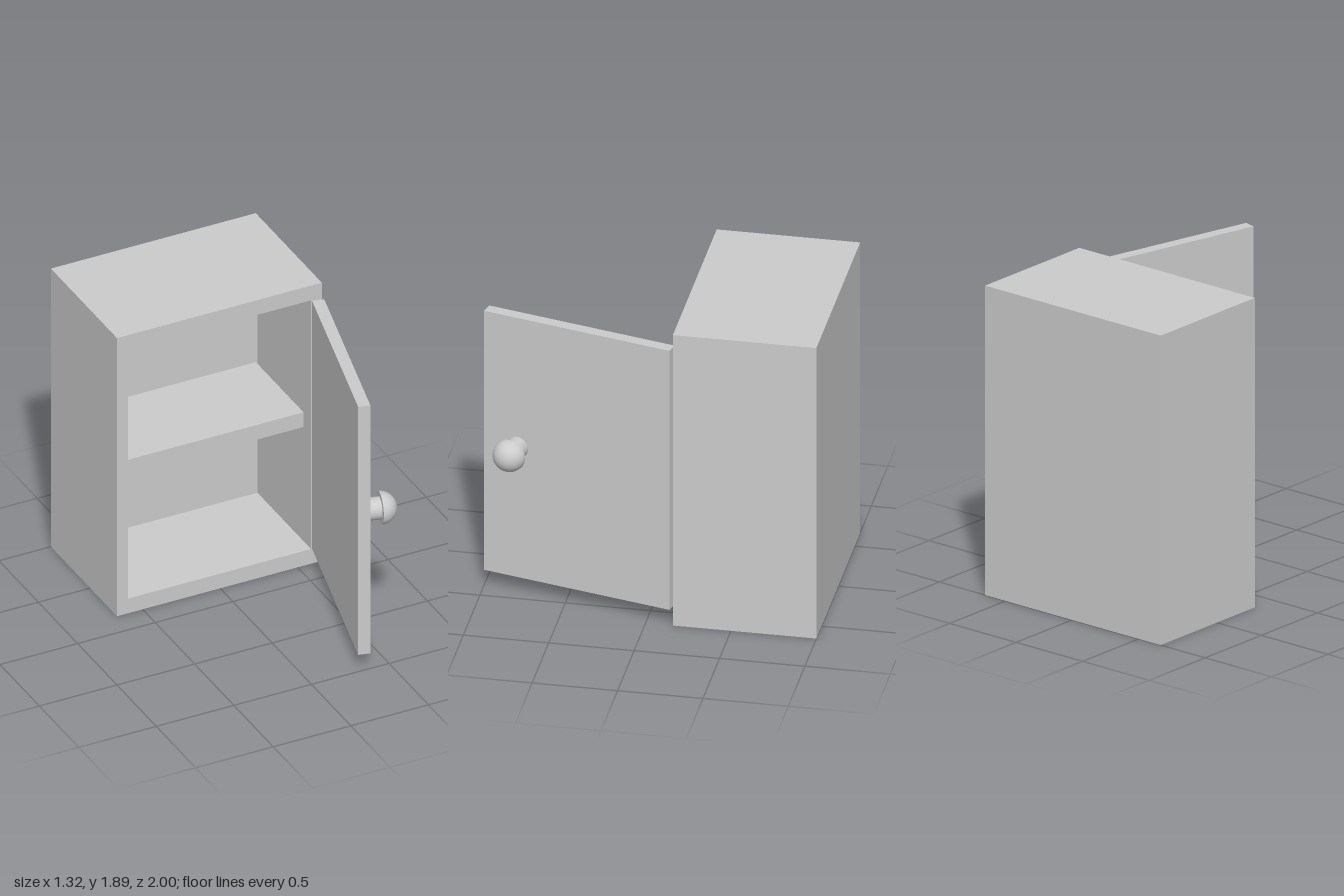
import * as THREE from 'three';

const material = new THREE.MeshStandardMaterial({ color: 0xcccccc });

function addMesh(parent, name, geometry, x = 0, y = 0, z = 0) {
  const mesh = new THREE.Mesh(geometry, material);
  mesh.name = name;
  mesh.position.set(x, y, z);
  parent.add(mesh);
  return mesh;
}

function rectangle(path, x0, y0, x1, y1) {
  path.moveTo(x0, y0);
  path.lineTo(x1, y0);
  path.lineTo(x1, y1);
  path.lineTo(x0, y1);
  path.closePath();
  return path;
}

export function createModel() {
  const model = new THREE.Group();
  model.name = 'cabinet';

  // Cabinet: open-fronted frame closed by a thick back
  const width = 1.32, height = 1.89, side = 0.07, cap = 0.1;
  const backDepth = 0.16, frameDepth = 0.68, centreX = -0.005;
  const outline = rectangle(new THREE.Shape(), -width / 2, 0, width / 2, height);
  outline.holes.push(rectangle(new THREE.Path(), -width / 2 + side, cap, width / 2 - side, height - cap));
  addMesh(model, 'frame',
    new THREE.ExtrudeGeometry(outline, { depth: frameDepth, bevelEnabled: false }),
    centreX, 0, -1 + backDepth);
  addMesh(model, 'back', new THREE.BoxGeometry(width, height, backDepth),
    centreX, height / 2, -1 + backDepth / 2);

  // Shelf, set slightly behind the opening
  const shelfDepth = 0.605;
  addMesh(model, 'shelf', new THREE.BoxGeometry(1.16, 0.1, shelfDepth),
    centreX, 0.94, -1 + backDepth + shelfDepth / 2);

  // Door, swung open on its hinge edge
  const door = new THREE.Group();
  door.name = 'door';
  door.position.set(0.59, 0.945, -0.157);
  door.rotation.y = -0.241;
  model.add(door);
  const thickness = 0.072, length = 1.174;
  addMesh(door, 'doorPanel', new THREE.BoxGeometry(thickness, 1.685, length),
    thickness / 2, 0, length / 2);

  // Knob: round stem with a domed cap, pointing out of the door
  const knob = new THREE.Group();
  knob.name = 'knob';
  knob.position.set(thickness, 0.002, 0.962);
  knob.rotation.z = -Math.PI / 2;
  door.add(knob);
  const stem = 0.106, radius = 0.098;
  addMesh(knob, 'knobStem', new THREE.CylinderGeometry(0.067, 0.067, stem, 48), 0, stem / 2, 0);
  addMesh(knob, 'knobDome',
    new THREE.SphereGeometry(radius, 48, 20, 0, Math.PI * 2, 0, Math.PI / 2), 0, stem, 0);
  addMesh(knob, 'knobUnderside', new THREE.CircleGeometry(radius, 48), 0, stem, 0)
    .rotation.x = Math.PI / 2;

  return model;
}
